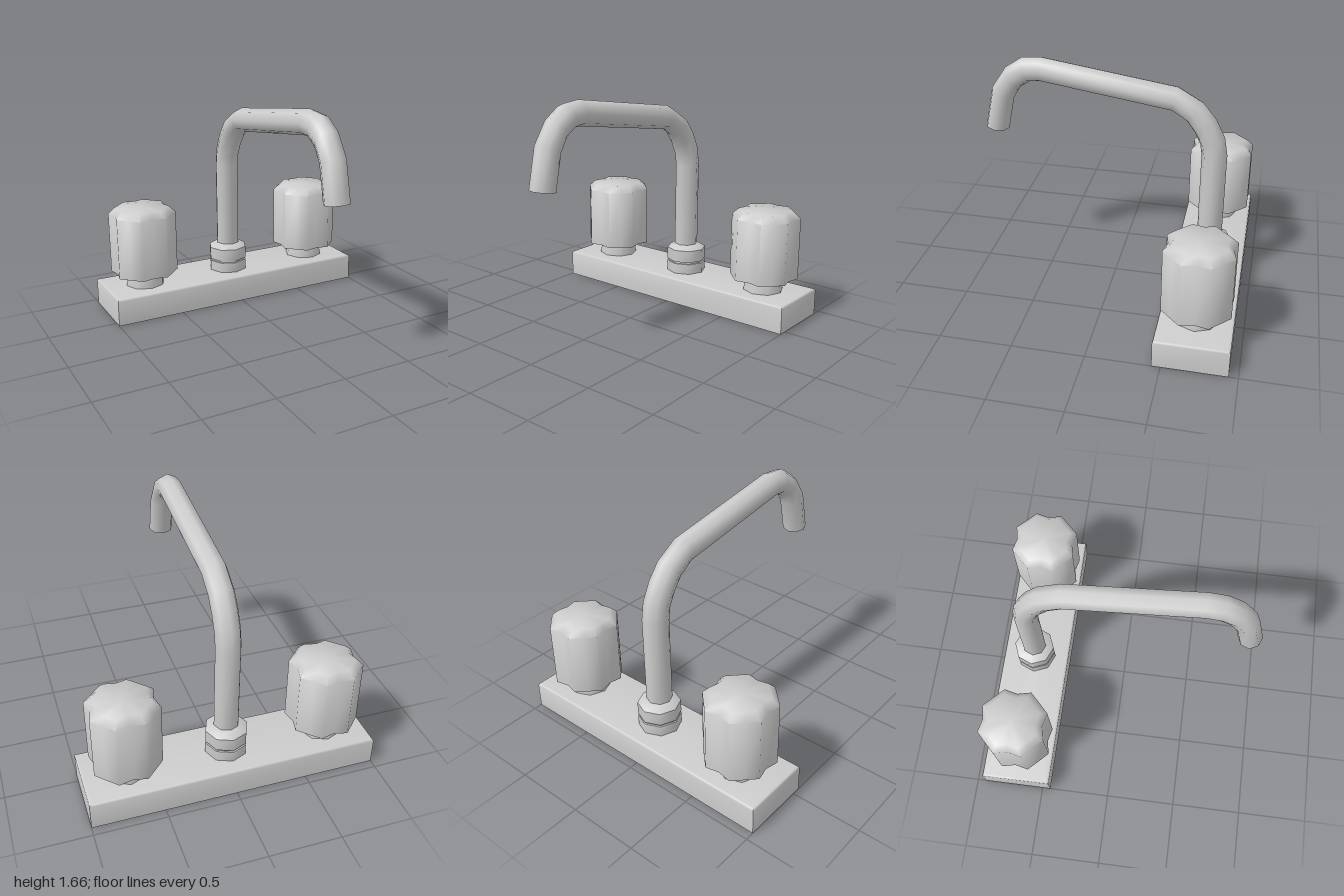
import * as THREE from 'three';
import { toCreasedNormals } from 'three/addons/utils/BufferGeometryUtils.js';

const CENTER_Z = -0.69;
const material = new THREE.MeshStandardMaterial({ color: 0xcccccc });
const shellMaterial = new THREE.MeshStandardMaterial({ color: 0xcccccc, side: THREE.DoubleSide });

// Skin a list of rings (equal point counts), optionally closing both ends
function loft(rings, capStart = true, capEnd = true, crease = 1.0) {
  const n = rings[0].length;
  const pos = [];
  const tri = (...pts) => pts.forEach((p) => pos.push(p.x, p.y, p.z));
  for (let i = 0; i < rings.length - 1; i++) {
    for (let j = 0; j < n; j++) {
      const k = (j + 1) % n;
      tri(rings[i][j], rings[i][k], rings[i + 1][k]);
      tri(rings[i][j], rings[i + 1][k], rings[i + 1][j]);
    }
  }
  const cap = (ring, flip) => {
    const mid = ring.reduce((s, p) => s.add(p), new THREE.Vector3()).divideScalar(n);
    ring.forEach((p, j) => {
      const q = ring[(j + 1) % n];
      if (flip) tri(mid, q, p);
      else tri(mid, p, q);
    });
  };
  if (capStart) cap(rings[0], true);
  if (capEnd) cap(rings[rings.length - 1], false);
  const geo = new THREE.BufferGeometry();
  geo.setAttribute('position', new THREE.Float32BufferAttribute(pos, 3));
  return toCreasedNormals(geo, crease);
}

// Horizontal ring; radius is a function of the segment index
function ring(n, y, radius) {
  return Array.from({ length: n }, (_, j) => {
    const a = (j / n) * Math.PI * 2;
    return new THREE.Vector3(radius(j) * Math.sin(a), y, radius(j) * Math.cos(a));
  });
}

function addMesh(parent, name, geo, mat = material) {
  const mesh = new THREE.Mesh(geo, mat);
  mesh.name = name;
  parent.add(mesh);
  return mesh;
}

// Turned part from [radius, y] pairs, eight-sided
const turned = (profile) => loft(profile.map(([r, y]) => ring(8, y, () => r)));

// Hollow base plate with softened top edges
function baseGeometry() {
  const rings = [[0, 0], [0.185, 0], [0.196, 0.005], [0.2, 0.016]].map(([y, inset]) =>
    [[1, 1], [1, -1], [-1, -1], [-1, 1]].map(([sx, sz]) =>
      new THREE.Vector3(sx * (1 - inset), y, sz * (0.248 - inset))));
  return loft(rings, false, true);
}

// Four-lobed knob with chamfered top
function knobGeometry() {
  const lobes = [0.208, 0.248, 0.23, 0.248];
  const profile = [[0.3, 1], [0.755, 1], [0.8, 0.8]];
  return loft(profile.map(([y, s]) => ring(16, y, (j) => lobes[j % 4] * s)));
}

// Bent spout; each section is outer z, outer y, inner z, inner y
function spoutGeometry() {
  const sections = [
    [-0.773, 0.38, -0.598, 0.38], [-0.773, 1.05, -0.598, 1.04], [-0.75, 1.18, -0.585, 1.12],
    [-0.685, 1.31, -0.54, 1.21], [-0.595, 1.42, -0.48, 1.29], [-0.42, 1.52, -0.39, 1.35],
    [0.52, 1.657, 0.52, 1.485], [0.65, 1.645, 0.6, 1.475], [0.77, 1.565, 0.67, 1.43],
    [0.875, 1.41, 0.72, 1.345], [0.935, 1.13, 0.77, 1.105],
  ];
  const n = 8;
  return loft(sections.map(([oz, oy, iz, iy]) =>
    Array.from({ length: n }, (_, j) => {
      const a = (j / n) * Math.PI * 2;
      const c = Math.cos(a) / 2;
      return new THREE.Vector3(-0.088 * Math.sin(a),
        (oy + iy) / 2 + (oy - iy) * c, (oz + iz) / 2 + (oz - iz) * c);
    })));
}

export function createModel() {
  const group = new THREE.Group();
  group.name = 'faucet';

  addMesh(group, 'basePlate', baseGeometry(), shellMaterial).position.z = CENTER_Z;

  // Hot and cold handles
  for (const side of [-1, 1]) {
    const handle = new THREE.Group();
    handle.name = side > 0 ? 'leftHandle' : 'rightHandle';
    handle.position.set(side * 0.7, 0, CENTER_Z);
    addMesh(handle, 'handleStem', turned([[0.148, 0.195], [0.132, 0.305]]));
    addMesh(handle, 'handleKnob', knobGeometry());
    group.add(handle);
  }

  // Grooved collar around the spout foot
  addMesh(group, 'spoutCollar', turned([
    [0.148, 0.195], [0.148, 0.278], [0.135, 0.278], [0.135, 0.293],
    [0.148, 0.293], [0.148, 0.385], [0.088, 0.42],
  ])).position.z = CENTER_Z;

  addMesh(group, 'spout', spoutGeometry());
  return group;
}
